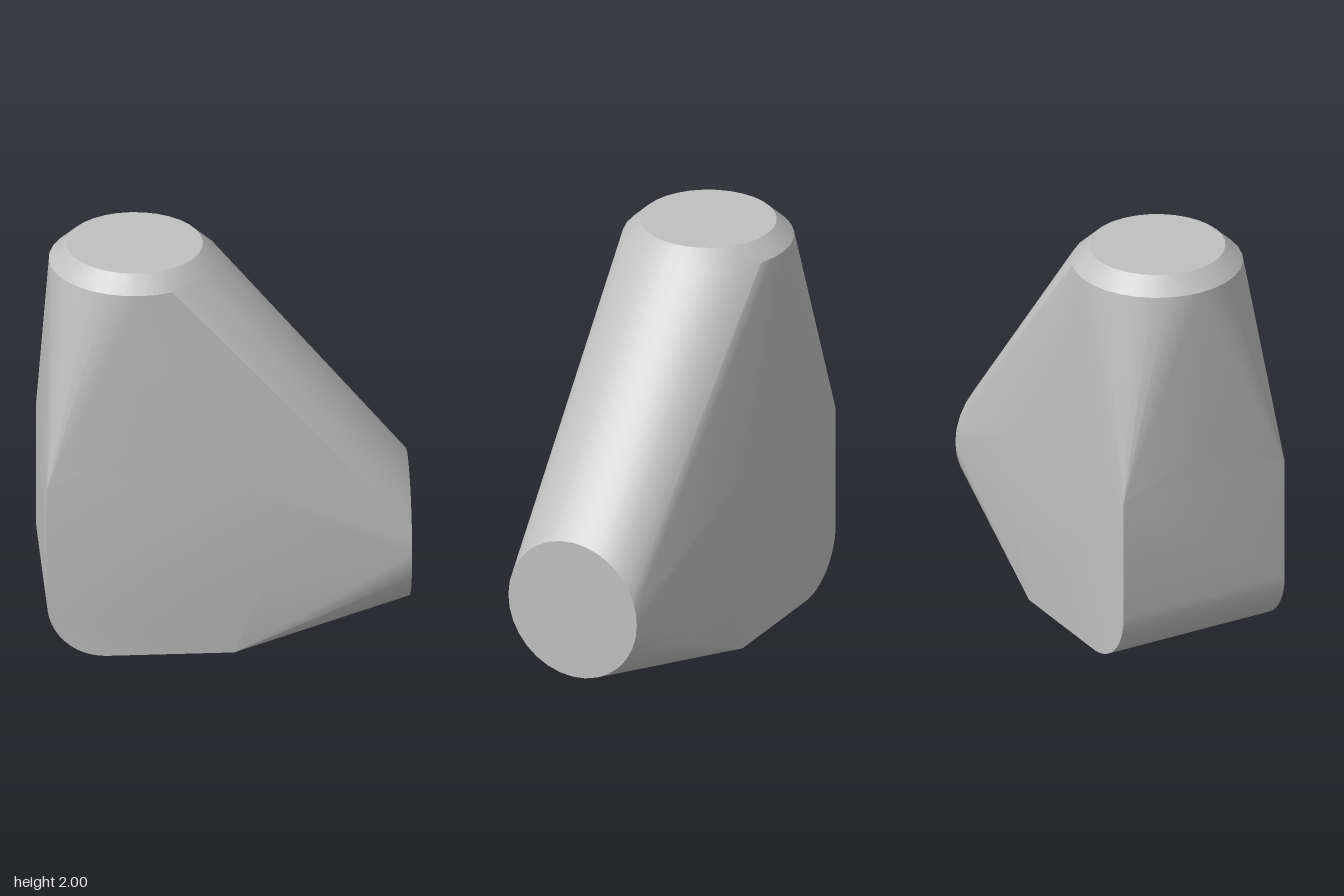
import * as THREE from 'three';
import { ConvexGeometry } from 'three/addons/geometries/ConvexGeometry.js';
import { toCreasedNormals } from 'three/addons/utils/BufferGeometryUtils.js';

const SEGMENTS = 32;
const AXIS_X = -0.435; // centre line of the upright branch
const AXIS_Y = 0.455;  // centre line of the side branch

// Ring of points around the upright branch at height y
function uprightRing(y, r) {
  return Array.from({ length: SEGMENTS }, (_, i) => {
    const a = (i / SEGMENTS) * Math.PI * 2;
    return new THREE.Vector3(AXIS_X + r * Math.cos(a), y, r * Math.sin(a));
  });
}

// Ring of points around the side branch at position x
function sideRing(x, r) {
  return Array.from({ length: SEGMENTS }, (_, i) => {
    const a = (i / SEGMENTS) * Math.PI * 2;
    return new THREE.Vector3(x, AXIS_Y + r * Math.cos(a), r * Math.sin(a));
  });
}

// Square block with one rounded lower corner
function blockPoints() {
  const left = -0.885, right = 0.02, top = 0.91, half = 0.45, r = 0.29, steps = 12;
  const points = [];
  for (const z of [-half, half]) {
    points.push(new THREE.Vector3(left, top, z));
    points.push(new THREE.Vector3(right, top, z));
    points.push(new THREE.Vector3(right, 0, z));
    for (let i = 0; i <= steps; i++) {
      const a = (i / steps) * Math.PI / 2;
      points.push(new THREE.Vector3(left + r - r * Math.cos(a), r - r * Math.sin(a), z));
    }
  }
  return points;
}

export function createModel() {
  const model = new THREE.Group();
  model.name = 'elbowBlock';

  const grey = new THREE.MeshStandardMaterial({ color: 0xc0c0c0 });
  grey.name = 'grey';

  // Skin stretched over the block and its two round branches
  const geometry = new ConvexGeometry([
    ...blockPoints(),
    ...uprightRing(1.09, 0.45),
    ...uprightRing(1.92, 0.415),
    ...uprightRing(2, 0.33),
    ...sideRing(0.2, 0.45),
    ...sideRing(0.885, 0.357),
  ]);
  const body = new THREE.Mesh(toCreasedNormals(geometry, 0.5), grey);
  body.name = 'body';
  model.add(body);
  return model;
}
